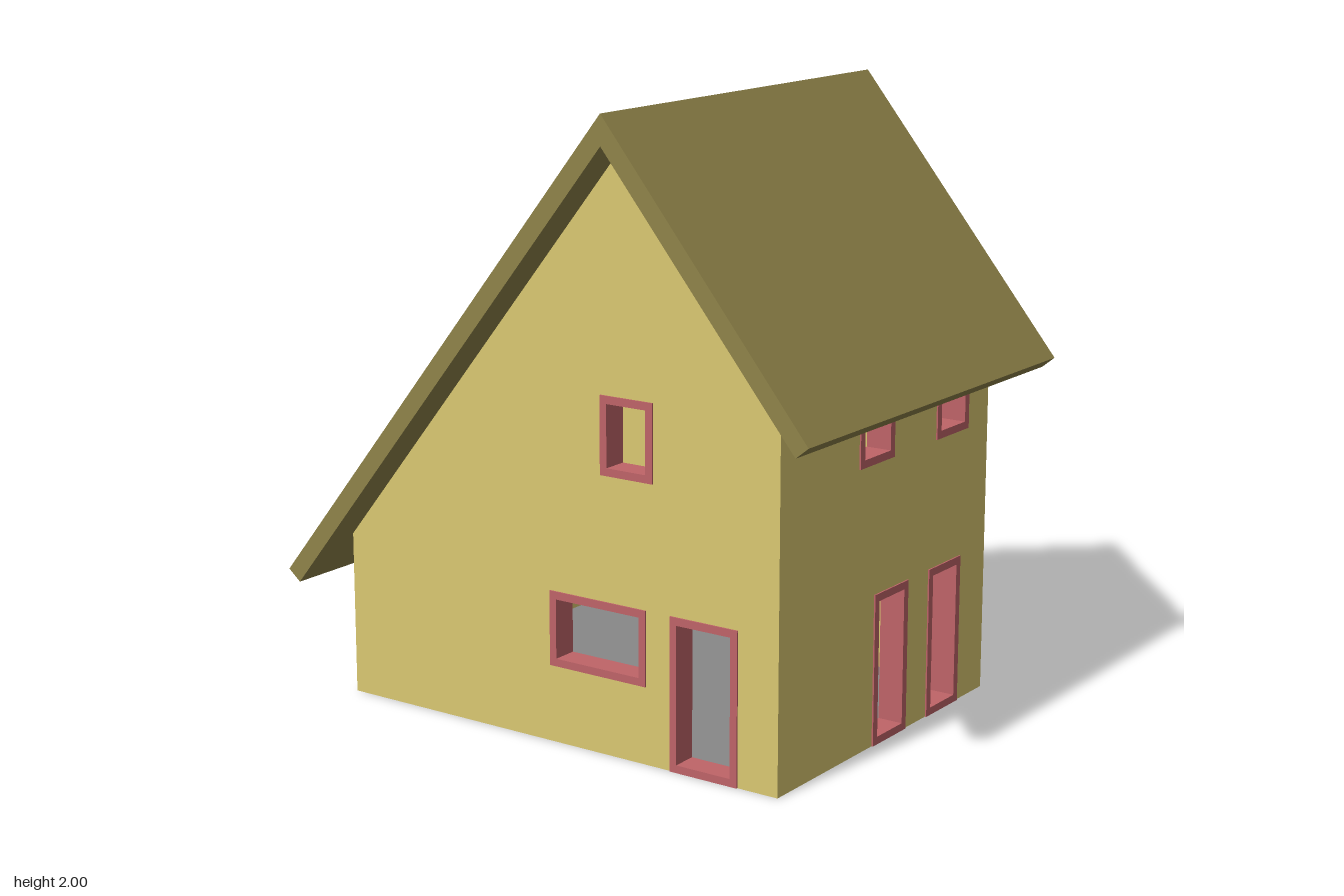
import * as THREE from 'three';

const WALL = new THREE.MeshStandardMaterial({ color: 0xdac872 });
const ROOF = new THREE.MeshStandardMaterial({ color: 0x8f8349 });
const TRIM = new THREE.MeshStandardMaterial({ color: 0xbf6468 });
const FLOOR = new THREE.MeshStandardMaterial({ color: 0x888888 });

const T = 0.075;                       // wall thickness
const BAR = 0.025;                     // frame bar width
const PROUD = 0.005;                   // how far frames stand out of the wall
const HX = 0.828, HZ = 0.615;          // half size of the house
const RIDGE_X = 0.28, SLOPE = 1.232;
const underside = x => 1.905 - SLOPE * Math.abs(x - RIDGE_X);

function mesh(name, geometry, material) {
  const m = new THREE.Mesh(geometry, material);
  m.name = name;
  return m;
}

function rectPath(Type, x0, y0, x1, y1) {
  const p = new Type();
  p.moveTo(x0, y0).lineTo(x1, y0).lineTo(x1, y1).lineTo(x0, y1).closePath();
  return p;
}

function extrude(shape, depth) {
  return new THREE.ExtrudeGeometry(shape, { depth, bevelEnabled: false });
}

// A wall whose outer face lies on local z = 0. Openings are [x0, y0, x1, y1],
// doors (y0 = 0) notch the bottom edge, windows become holes.
function makeWall(name, u0, u1, top, openings) {
  const group = new THREE.Group();
  group.name = name;
  const shape = new THREE.Shape();
  shape.moveTo(u0, 0);
  const doors = openings.filter(o => o[1] === 0).sort((a, b) => a[0] - b[0]);
  for (const [a, , b, h] of doors) {
    shape.lineTo(a, 0).lineTo(a, h).lineTo(b, h).lineTo(b, 0);
  }
  shape.lineTo(u1, 0);
  for (const [x, y] of top) shape.lineTo(x, y);
  shape.closePath();
  for (const o of openings) {
    if (o[1] > 0) shape.holes.push(rectPath(THREE.Path, ...o));
  }
  const wall = mesh(name + 'Panel', extrude(shape, T), WALL);
  wall.position.z = -T;
  group.add(wall);

  // Frame lining every opening
  for (const [x0, y0, x1, y1] of openings) {
    const frame = rectPath(THREE.Shape, x0, y0, x1, y1);
    frame.holes.push(rectPath(THREE.Path, x0 + BAR, y0 + BAR, x1 - BAR, y1 - BAR));
    const m = mesh(y0 === 0 ? 'doorFrame' : 'windowFrame', extrude(frame, T + 2 * PROUD), TRIM);
    m.position.z = -T - PROUD;
    group.add(m);
  }
  return group;
}

export function createModel() {
  const house = new THREE.Group();
  house.name = 'house';

  // Front gable wall
  const front = makeWall('frontWall', -HX, HX,
    [[HX, underside(HX)], [RIDGE_X, underside(RIDGE_X)], [-HX, underside(-HX)]],
    [[0.44, 0, 0.685, 0.492], [-0.015, 0.25, 0.35, 0.492], [0.183, 0.89, 0.377, 1.138]]);
  front.position.z = HZ;

  // Back gable wall, turned round so its own x runs the other way
  const back = makeWall('backWall', -HX, HX,
    [[HX, underside(-HX)], [-RIDGE_X, underside(RIDGE_X)], [-HX, underside(HX)]],
    [[-0.325, 0, 0.255, 0.492]]);
  back.rotation.y = Math.PI;
  back.position.z = -HZ;

  // Side walls, their tops buried in the roof
  const w = HZ - T;
  const sideTop = h => [[w, h], [-w, h]];
  const right = makeWall('tallSideWall', -w, w, sideTop(underside(HX) + 0.045), [
    [-0.08, 0, 0.12, 0.492], [0.25, 0, 0.45, 0.492],
    [-0.18, 0.91, 0.02, 1.158], [0.282, 0.91, 0.482, 1.158]]);
  right.rotation.y = Math.PI / 2;
  right.position.x = HX;

  const left = makeWall('lowSideWall', -w, w, sideTop(underside(-HX) + 0.045), [
    [-0.12, 0, 0.08, 0.492], [-0.438, 0, -0.238, 0.492]]);
  left.rotation.y = -Math.PI / 2;
  left.position.x = -HX;

  // Floor slab
  const floor = mesh('floor', new THREE.BoxGeometry(2 * (HX - T), 0.02, 2 * w), FLOOR);
  floor.position.y = 0.01;

  // Uneven gable roof with square-cut eaves
  const section = new THREE.Shape([
    [RIDGE_X, 2], [-1, 0.42], [-0.955, 0.383], [RIDGE_X, 1.905], [0.957, 1.08], [1, 1.115],
  ].map(([x, y]) => new THREE.Vector2(x, y)));
  const roof = mesh('roof', extrude(section, 1.476), ROOF);
  roof.position.z = -0.738;

  house.add(front, back, right, left, floor, roof);
  return house;
}
